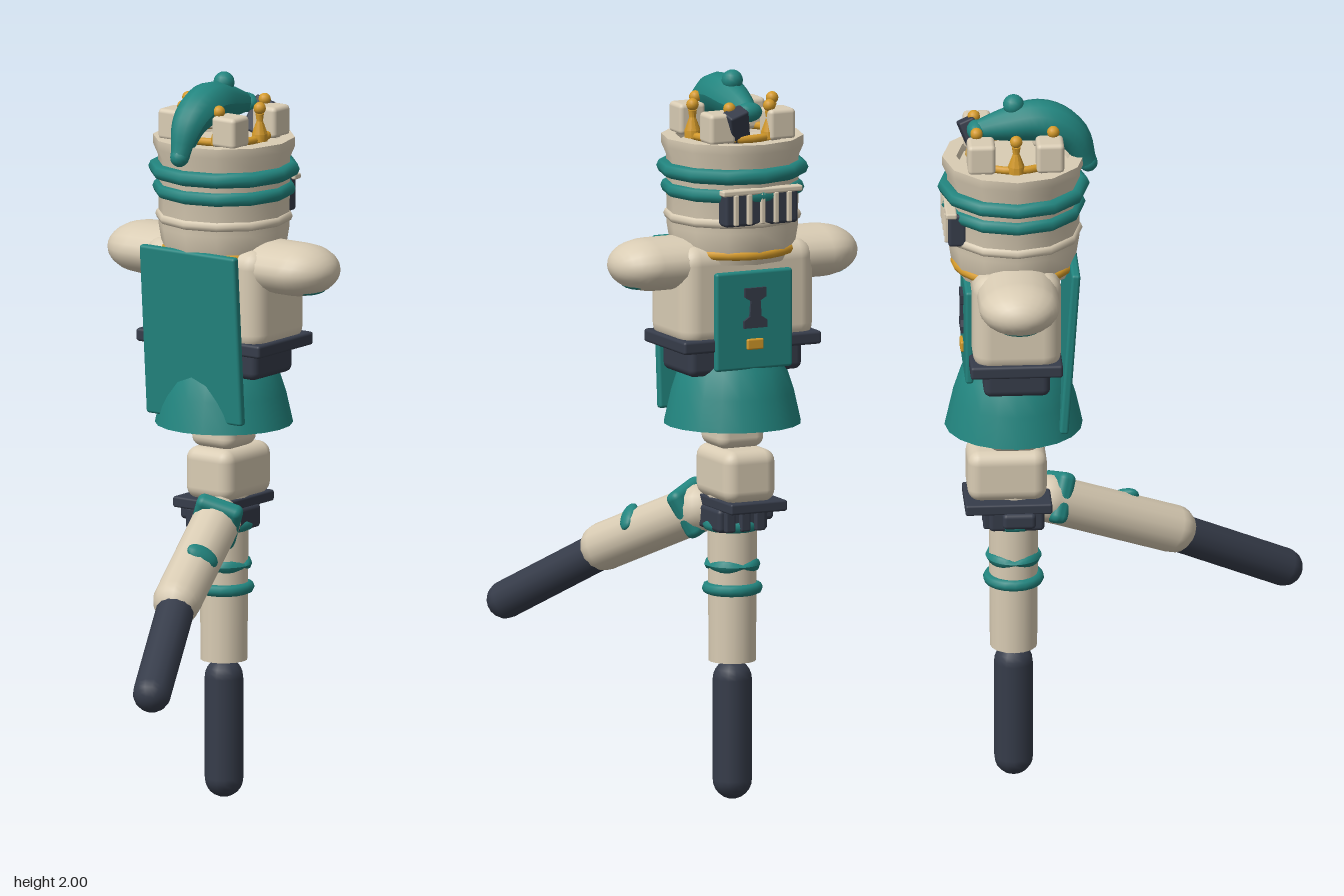
import * as THREE from 'three';
import { toCreasedNormals } from 'three/addons/utils/BufferGeometryUtils.js';
import { RoundedBoxGeometry } from 'three/addons/geometries/RoundedBoxGeometry.js';

const paint = (name, color) => {
  const m = new THREE.MeshStandardMaterial({ color });
  m.name = name;
  return m;
};

export function createModel() {
  const ivory = paint('ivory', 0xd9ccb4);
  const teal = paint('teal', 0x22857f);
  const dark = paint('slate', 0x363c4a);
  const gold = paint('gold', 0xd49a2a);

  const model = new THREE.Group();
  // Body parts share one vertical axis behind the raised leg
  const body = new THREE.Group();
  body.name = 'body';
  body.position.z = -0.3;
  model.add(body);

  const add = (name, geo, mat, x = 0, y = 0, z = 0, parent = body) => {
    const mesh = new THREE.Mesh(geo, mat);
    mesh.name = name;
    mesh.position.set(x, y, z);
    parent.add(mesh);
    return mesh;
  };
  const rbox = (w, h, d, r = 0.01) => new RoundedBoxGeometry(w, h, d, 3, r);
  const ball = (r) => new THREE.SphereGeometry(r, 14, 10);
  const lathe = (pts, n) => toCreasedNormals(
    new THREE.LatheGeometry(pts.map(p => new THREE.Vector2(...p)), n), 0.7);
  const ring = (name, r, tube, y, mat, n = 12) =>
    add(name, new THREE.TorusGeometry(r, tube, 8, n).rotateX(Math.PI / 2), mat, 0, y);
  // Limb along a line, with rounded ends
  const limb = (name, a, b, r, mat) => {
    const p = new THREE.Vector3(...a), q = new THREE.Vector3(...b);
    const dir = q.clone().sub(p);
    const mesh = add(name, new THREE.CapsuleGeometry(r, dir.length(), 6, 14), mat, 0, 0, 0, model);
    mesh.position.copy(p).add(q).multiplyScalar(0.5);
    mesh.quaternion.setFromUnitVectors(new THREE.Vector3(0, 1, 0), dir.normalize());
    return mesh;
  };

  // Tower head with a sunken top
  add('head', lathe([[0, 1.49], [0.155, 1.49], [0.17, 1.53], [0.178, 1.58], [0.18, 1.77],
    [0.193, 1.8], [0.193, 1.825], [0.155, 1.825], [0.15, 1.805], [0, 1.805]], 12), ivory);
  ring('upperHeadBand', 0.185, 0.021, 1.737, teal);
  ring('lowerHeadBand', 0.175, 0.02, 1.683, teal);
  ring('headMoulding', 0.172, 0.015, 1.607, ivory);
  ring('collar', 0.158, 0.013, 1.517, gold, 24);

  // Battlements
  for (const x of [-0.09, 0.09]) for (const z of [-0.093, 0.093])
    add('battlement', rbox(0.078, 0.085, 0.075, 0.012), ivory, x, 1.863, z);

  // Crown of six finials
  ring('crownRing', 0.12, 0.011, 1.83, gold, 24);
  for (let i = 0; i < 6; i++) {
    const a = i * Math.PI / 3, x = 0.12 * Math.cos(a), z = 0.12 * Math.sin(a);
    add('finialStem', lathe([[0, 1.825], [0.022, 1.825], [0.022, 1.845], [0.009, 1.88], [0.012, 1.9], [0, 1.905]], 10),
      gold, x, 0, z);
    add('finialBall', ball(0.017), gold, x, 1.915, z);
  }
  const peg = add('darkPeg', rbox(0.06, 0.1, 0.045, 0.006), dark, 0.042, 1.865, -0.11);
  peg.rotation.set(-0.35, 0.2, -0.25);

  // Curved plume: a tube whose rings swell and taper
  const path = new THREE.CatmullRomCurve3([[-0.1, 1.9], [-0.02, 1.915], [0.08, 1.925], [0.155, 1.885], [0.203, 1.795]]
    .map(([z, y]) => new THREE.Vector3(0, y, z)));
  const segs = 20, sides = 12;
  const plume = new THREE.TubeGeometry(path, segs, 1, sides);
  const pos = plume.attributes.position, v = new THREE.Vector3();
  for (let i = 0; i < pos.count; i++) {
    const t = Math.floor(i / (sides + 1)) / segs;
    const r = 0.025 + 0.032 * Math.sin(Math.PI * Math.min(1, t * 1.02));
    const c = path.getPointAt(t);
    v.fromBufferAttribute(pos, i).sub(c).multiplyScalar(r).add(c);
    pos.setXYZ(i, v.x, v.y, v.z);
  }
  plume.computeVertexNormals();
  add('plume', plume, teal);
  add('plumeTip', ball(0.026), teal, 0, 1.798, 0.202);
  add('plumeRoot', ball(0.03), teal, 0, 1.9, -0.1).scale.set(1.3, 0.9, 0.9);
  add('plumeBead', ball(0.029), teal, 0, 1.972, 0);

  // Grille on the face
  add('visor', rbox(0.22, 0.095, 0.05), dark, 0, 1.65, -0.158);
  add('visorLintel', rbox(0.24, 0.016, 0.03, 0.005), ivory, 0, 1.697, -0.175);
  for (let i = -2; i <= 2; i++)
    add('visorBar', rbox(0.014, 0.085, 0.014, 0.004), ivory, i * 0.04, 1.65, -0.185);

  // Torso, arms and belt
  add('torso', rbox(0.4, 0.28, 0.24, 0.05), ivory, 0, 1.4, 0);
  for (const s of [-1, 1]) {
    const arm = add('arm', new THREE.CapsuleGeometry(0.11, 0.16, 8, 20).rotateZ(Math.PI / 2), ivory, s * 0.175, 1.487, 0);
    arm.scale.y = 0.65;
    add('cuffPatch', ball(1), teal, s * 0.29, 1.436, 0).scale.set(0.038, 0.014, 0.055);
  }
  add('belt', rbox(0.415, 0.036, 0.25, 0.008), dark, 0, 1.27, -0.003);
  add('hipBlock', rbox(0.34, 0.09, 0.18, 0.02), dark, 0, 1.225, 0);

  // Flared skirt
  add('skirt', lathe([[0, 1.035], [0.187, 1.035], [0.168, 1.12], [0.145, 1.19], [0.105, 1.25], [0, 1.25]], 20), teal);

  // Cape, leaning in towards the hem
  const cape = add('cape', rbox(0.32, 0.47, 0.024, 0.008), teal, 0, 1.298, 0.144);
  cape.rotation.x = 0.07;

  // Tabard with tower emblem and buckle
  add('tabard', rbox(0.23, 0.27, 0.022, 0.008), teal, 0, 1.335, -0.126);
  const half = [[0.035, 0], [0.035, 0.02], [0.017, 0.032], [0.014, 0.075], [0.032, 0.085], [0.032, 0.11]];
  const emblem = new THREE.Shape([...half, ...half.map(([x, y]) => [-x, y]).reverse()]
    .map(p => new THREE.Vector2(...p)));
  add('towerEmblem', new THREE.ExtrudeGeometry(emblem, { depth: 0.009, bevelEnabled: false }), dark, 0, 1.315, -0.145);
  add('buckle', rbox(0.05, 0.03, 0.02, 0.005), gold, 0, 1.27, -0.135);

  // Waist and hips
  add('waist', rbox(0.14, 0.08, 0.14, 0.03), ivory, 0, 1.01, 0);
  add('hips', rbox(0.155, 0.145, 0.215, 0.035), ivory, 0, 0.9, -0.02);
  add('hipPlate', rbox(0.17, 0.03, 0.235, 0.006), dark, -0.015, 0.818, -0.018);
  add('hipGuard', rbox(0.15, 0.065, 0.15, 0.012), dark, 0, 0.775, 0.005);
  add('hipPouch', rbox(0.05, 0.045, 0.09, 0.012), dark, -0.085, 0.785, 0.01);
  for (let i = -1; i <= 1; i++)
    add('guardRib', rbox(0.03, 0.06, 0.02, 0.006), dark, i * 0.045, 0.775, -0.075);

  // Standing leg
  add('standingLeg', new THREE.CylinderGeometry(0.068, 0.064, 0.46, 16), ivory, 0, 0.61, 0);
  limb('standingBoot', [0, 0.33, -0.3], [0, 0.053, -0.3], 0.053, dark);
  ring('thighBand', 0.064, 0.017, 0.755, teal, 18);
  ring('calfBand', 0.067, 0.016, 0.58, teal, 18);
  // Wrapped band, pinched at the middle of each side
  const wrap = new THREE.TorusGeometry(0.06, 0.016, 8, 32).rotateX(Math.PI / 2);
  const wp = wrap.attributes.position;
  for (let i = 0; i < wp.count; i++)
    wp.setY(i, wp.getY(i) * (0.4 + 0.8 * Math.abs(Math.sin(2 * Math.atan2(wp.getZ(i), wp.getX(i))))));
  wrap.computeVertexNormals();
  add('wrappedBand', wrap, teal, 0, 0.645, 0);

  // Raised leg
  const leg = limb('raisedLeg', [0.05, 0.785, -0.2], [0.168, 0.635, 0.14], 0.066, ivory);
  limb('raisedBoot', [0.175, 0.62, 0.155], [0.312, 0.45, 0.45], 0.052, dark);
  const pad = add('thighPad', rbox(0.13, 0.05, 0.14, 0.02), teal, 0.058, 0.785, -0.185, model);
  pad.quaternion.copy(leg.quaternion);
  const patch = add('legPatch', ball(1), teal, 0.157, 0.735, 0.01, model);
  patch.scale.set(0.02, 0.048, 0.03);
  patch.rotation.set(0.7, 0.3, 0.6);

  return model;
}
